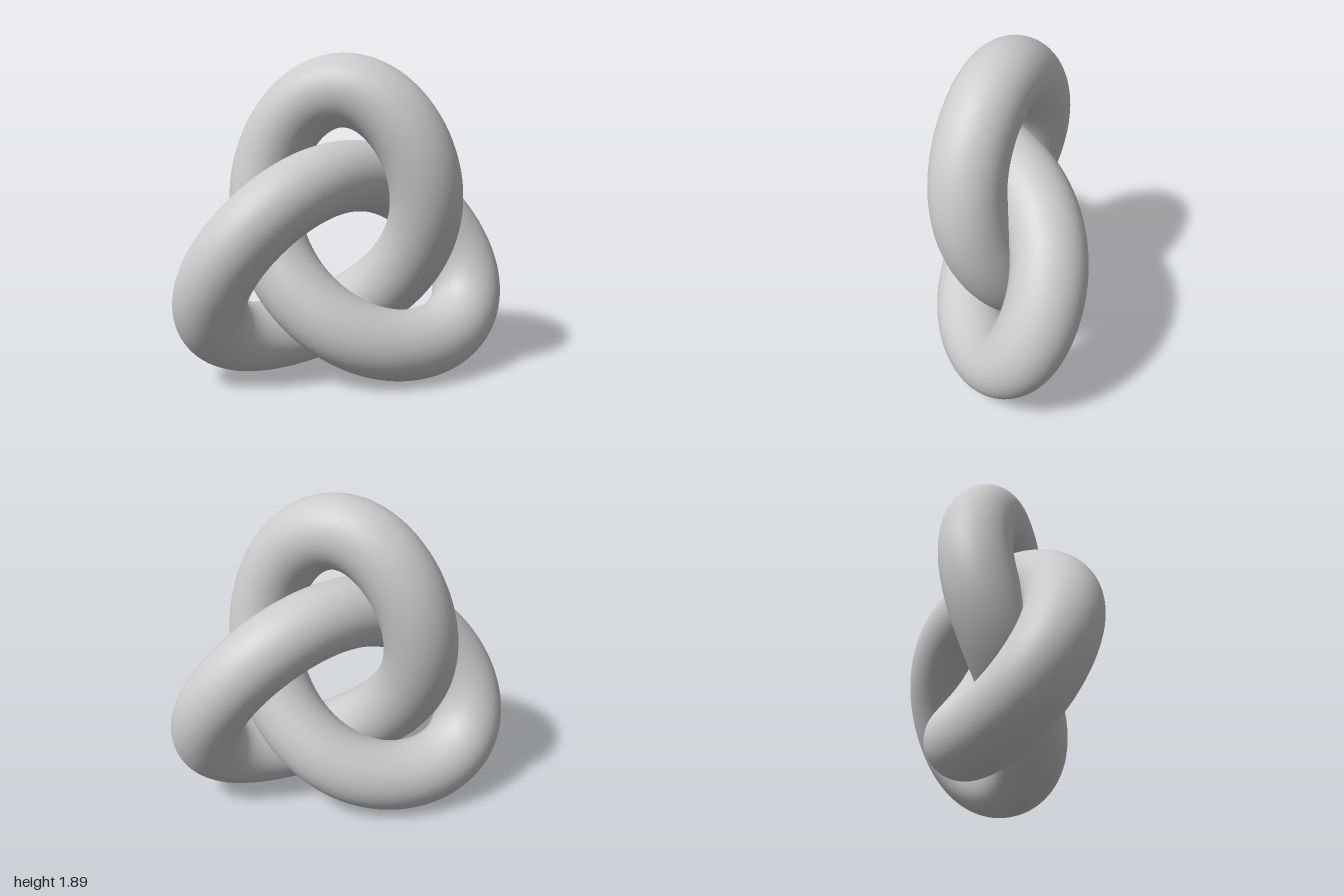
import * as THREE from 'three';

// Three-lobed closed knot: a few harmonics shape the lobes and the weave
class TrefoilCurve extends THREE.Curve {
  getPoint(u, target = new THREE.Vector3()) {
    const t = u * Math.PI * 2;
    const x = 0.606 * Math.sin(2 * t) - 0.245 * Math.sin(t) - 0.024 * Math.sin(4 * t);
    const y = 0.606 * Math.cos(2 * t) + 0.245 * Math.cos(t) + 0.024 * Math.cos(4 * t);
    const z = 0.205 * (Math.sin(3 * t) - 0.09 * Math.sin(6 * t));
    return target.set(x, y + 0.805, z);
  }
}

export function createModel() {
  const group = new THREE.Group();
  group.name = 'trefoilKnot';

  // Round tube swept along the knot
  const curve = new TrefoilCurve();
  curve.arcLengthDivisions = 1200;
  const tube = new THREE.Mesh(
    new THREE.TubeGeometry(curve, 360, 0.207, 48, true),
    new THREE.MeshStandardMaterial({ color: 0xcccccc })
  );
  tube.name = 'knotTube';
  group.add(tube);

  return group;
}
